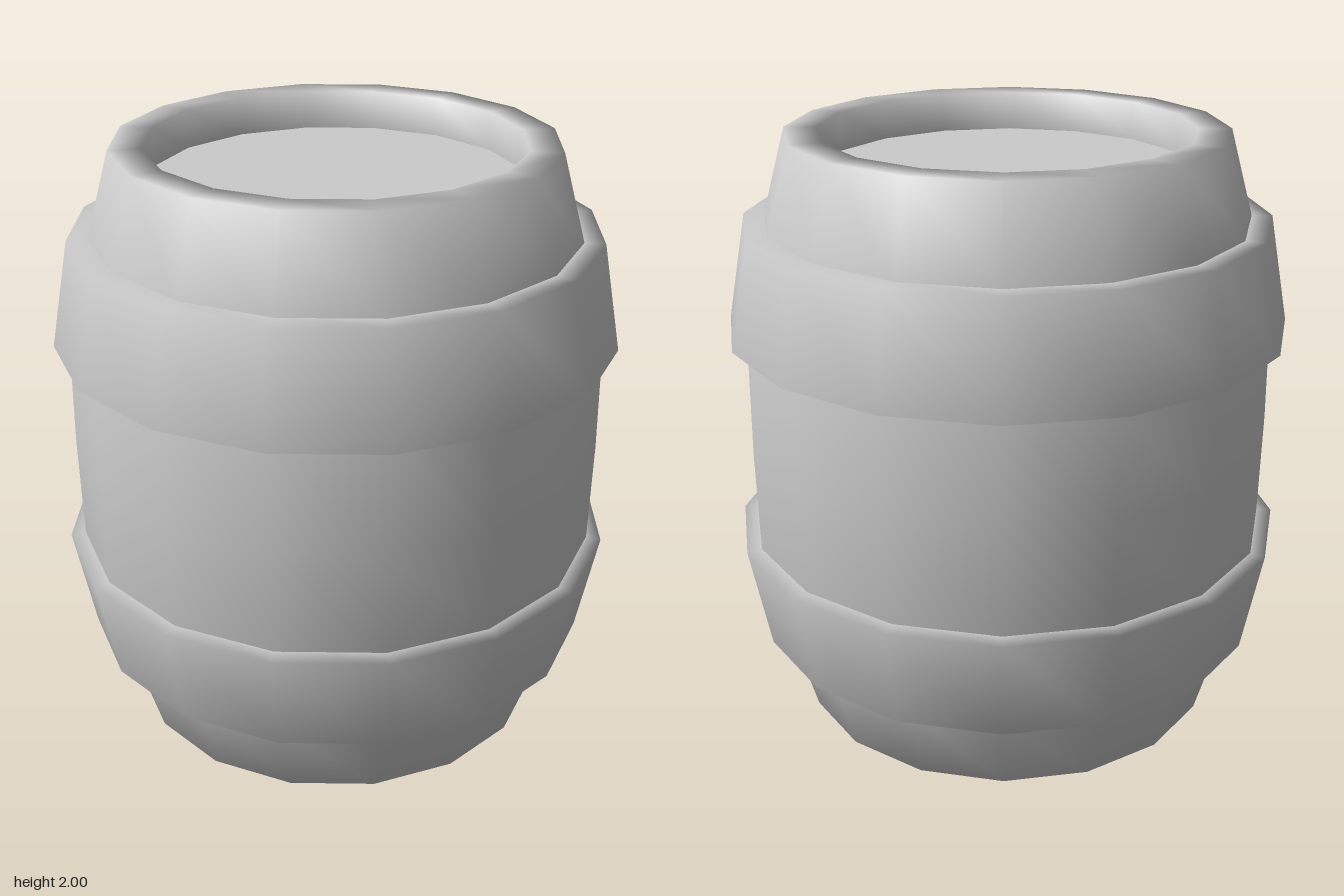
import * as THREE from 'three';

const SIDES = 16;

export function createModel() {
  const group = new THREE.Group();
  group.name = 'barrel';
  const material = new THREE.MeshStandardMaterial({ color: 0xcccccc });

  const add = (name, geometry) => {
    const mesh = new THREE.Mesh(geometry, material);
    mesh.name = name;
    group.add(mesh);
    return mesh;
  };
  // Profiles run upward as [radius, y]
  const lathe = (points) =>
    new THREE.LatheGeometry(points.map(([r, y]) => new THREE.Vector2(r, y)), SIDES);
  const mirror = (points) => points.map(([r, y]) => [r, 2 - y]).reverse();

  // Bulging staves with a flat rim and a recess at each end
  const upperHalf = [[0.885, 1.355], [0.8, 1.715], [0.72, 2], [0.615, 2], [0.615, 1.87]];
  add('staves', lathe([...mirror(upperHalf), [0.89, 1], ...upperHalf]));

  // Two flared hoops, widest towards the middle
  const hoop = [[0.875, 1.35], [0.935, 1.358], [0.868, 1.715], [0.795, 1.715]];
  add('upperHoop', lathe(hoop));
  add('lowerHoop', lathe(mirror(hoop)));

  // Sunken end discs
  for (const [name, y, turn] of [['lid', 1.87, -1], ['base', 0.13, 1]]) {
    const disc = add(name, new THREE.CircleGeometry(0.615, SIDES));
    disc.rotation.x = turn * Math.PI / 2;
    disc.position.y = y;
  }
  return group;
}
